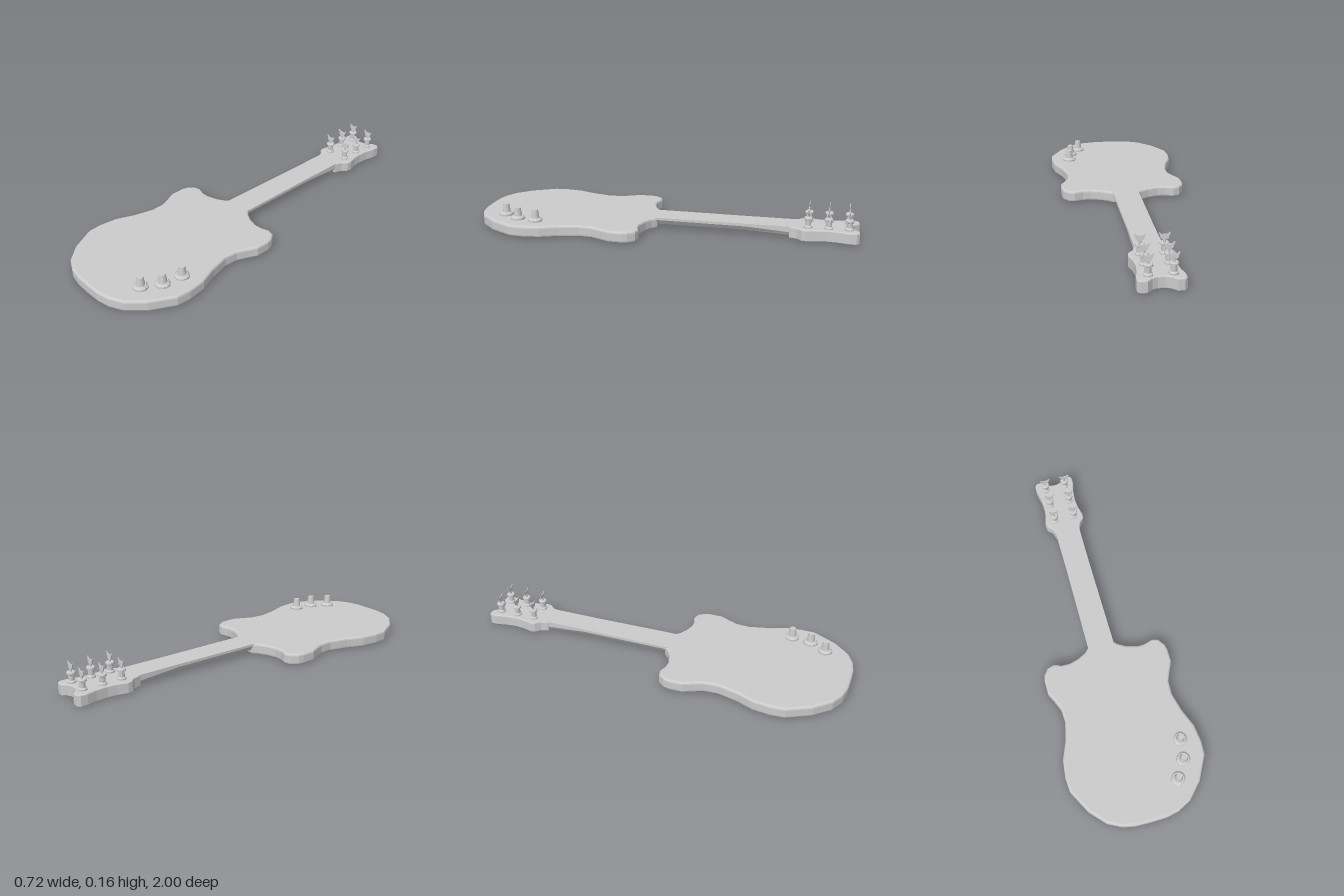
import * as THREE from 'three';

const material = new THREE.MeshStandardMaterial({ color: 0xcccccc, flatShading: true, side: THREE.DoubleSide });
const TOP = 0.06;

function addMesh(parent, name, geometry, x = 0, y = 0, z = 0) {
  const mesh = new THREE.Mesh(geometry, material);
  mesh.name = name;
  mesh.position.set(x, y, z);
  parent.add(mesh);
  return mesh;
}

// Mirrored half outline (x, z) made into a flat slab with rounded rims, y from 0 to TOP
function slab(half, bevel) {
  const mirrored = half.filter(([x]) => x > 0).reverse().map(([x, z]) => [-x, z]);
  const shape = new THREE.Shape([...half, ...mirrored].map(([x, z]) => new THREE.Vector2(x, z)));
  const geometry = new THREE.ExtrudeGeometry(shape, {
    depth: TOP - 2 * bevel, bevelEnabled: true, bevelThickness: bevel,
    bevelSize: bevel, bevelOffset: -bevel, bevelSegments: 3,
  });
  return geometry.rotateX(Math.PI / 2).translate(0, TOP - bevel, 0);
}

// Skin over cross-sections { z, half: [x, y] from the top edge down }
function loft(sections) {
  const rings = sections.map(({ z, half }) => [
    ...half.map(([x, y]) => [x, y, z]),
    ...[...half].reverse().map(([x, y]) => [-x, y, z]),
  ]);
  const n = rings[0].length;
  const index = [];
  for (let r = 0; r < rings.length - 1; r++) {
    for (let i = 0; i < n; i++) {
      const a = r * n + i, b = r * n + (i + 1) % n;
      index.push(a, a + n, b, b, a + n, b + n);
    }
  }
  const last = (rings.length - 1) * n;
  for (let i = 1; i < n - 1; i++) {
    index.push(0, i, i + 1, last, last + i + 1, last + i);
  }
  // Wind the faces outward
  for (let i = 0; i < index.length; i += 3) [index[i + 1], index[i + 2]] = [index[i + 2], index[i + 1]];
  const geometry = new THREE.BufferGeometry();
  geometry.setAttribute('position', new THREE.Float32BufferAttribute(rings.flat(2), 3));
  geometry.setIndex(index);
  geometry.computeVertexNormals();
  return geometry;
}

function turned(profile, sides) {
  return new THREE.LatheGeometry(profile.map(([r, y]) => new THREE.Vector2(r, y)), sides);
}

// Tuning peg: turned post with a thin winged key
function createPeg() {
  const peg = new THREE.Group();
  peg.name = 'tuningPeg';
  addMesh(peg, 'pegPost', turned([
    [0.022, 0], [0.022, 0.007], [0.015, 0.013], [0.015, 0.04], [0.022, 0.044],
    [0.022, 0.052], [0.018, 0.056], [0.006, 0.056], [0.006, 0.07], [0, 0.07],
  ], 10));
  const half = [[0.009, 0.066], [0.018, 0.073], [0.021, 0.084], [0.027, 0.099], [0.025, 0.102], [0.013, 0.092]];
  const outline = [...half, ...[...half].reverse().map(([x, y]) => [-x, y])];
  const key = new THREE.ExtrudeGeometry(
    new THREE.Shape(outline.map(([x, y]) => new THREE.Vector2(x, y))),
    { depth: 0.006, bevelEnabled: false },
  ).translate(0, 0, -0.003);
  // Taper the key toward its upper edge
  const p = key.attributes.position;
  for (let i = 0; i < p.count; i++) {
    const t = (p.getY(i) - 0.066) / 0.036;
    p.setZ(i, p.getZ(i) * (1.3 - 0.9 * t));
  }
  key.computeVertexNormals();
  addMesh(peg, 'pegKey', key);
  return peg;
}

export function createModel() {
  const guitar = new THREE.Group();
  guitar.name = 'guitar';

  // Body with two shoulders and a waist
  addMesh(guitar, 'body', slab([
    [0.068, 0.04], [0.09, 0.062], [0.13, 0.085], [0.185, 0.101], [0.225, 0.1], [0.27, 0.086],
    [0.305, 0.096], [0.33, 0.13], [0.337, 0.16], [0.336, 0.23], [0.312, 0.28], [0.291, 0.33],
    [0.287, 0.4], [0.312, 0.5], [0.348, 0.59], [0.359, 0.68], [0.354, 0.75], [0.29, 0.87],
    [0.215, 0.95], [0.145, 0.985], [0.08, 0.998], [0, 1],
  ], 0.012));

  // Headstock with flared corners and a notched end
  addMesh(guitar, 'headstock', slab([
    [0.068, -0.65], [0.08, -0.69], [0.105, -0.715], [0.109, -0.74], [0.096, -0.79], [0.091, -0.84],
    [0.096, -0.9], [0.108, -0.95], [0.108, -0.985], [0.095, -0.999], [0.065, -1], [0.04, -0.975],
    [0.015, -0.965], [0, -0.965],
  ], 0.006));

  // Neck, flat on top and faceted underneath
  addMesh(guitar, 'neck', loft([
    { z: 0.1, half: [[0.07, TOP], [0.07, 0.048], [0.052, 0.022], [0.025, 0.01]] },
    { z: -0.43, half: [[0.066, TOP], [0.066, 0.045], [0.05, 0.022], [0.025, 0.012]] },
    { z: -0.69, half: [[0.067, TOP], [0.067, 0.028], [0.058, 0.012], [0.03, 0.008]] },
  ]));

  // Three pairs of tuning pegs
  for (const z of [-0.947, -0.845, -0.743]) {
    for (const side of [-1, 1]) {
      const peg = createPeg();
      peg.position.set(side * 0.055, TOP, z);
      guitar.add(peg);
    }
  }

  // Control knobs
  const knob = turned([
    [0.037, 0], [0.037, 0.009], [0.027, 0.018], [0.022, 0.018], [0.016, 0.06], [0, 0.06],
  ], 12);
  for (const [x, z] of [[0.255, 0.643], [0.24, 0.745], [0.187, 0.832]]) {
    addMesh(guitar, 'controlKnob', knob, x, TOP, z);
  }

  return guitar;
}
